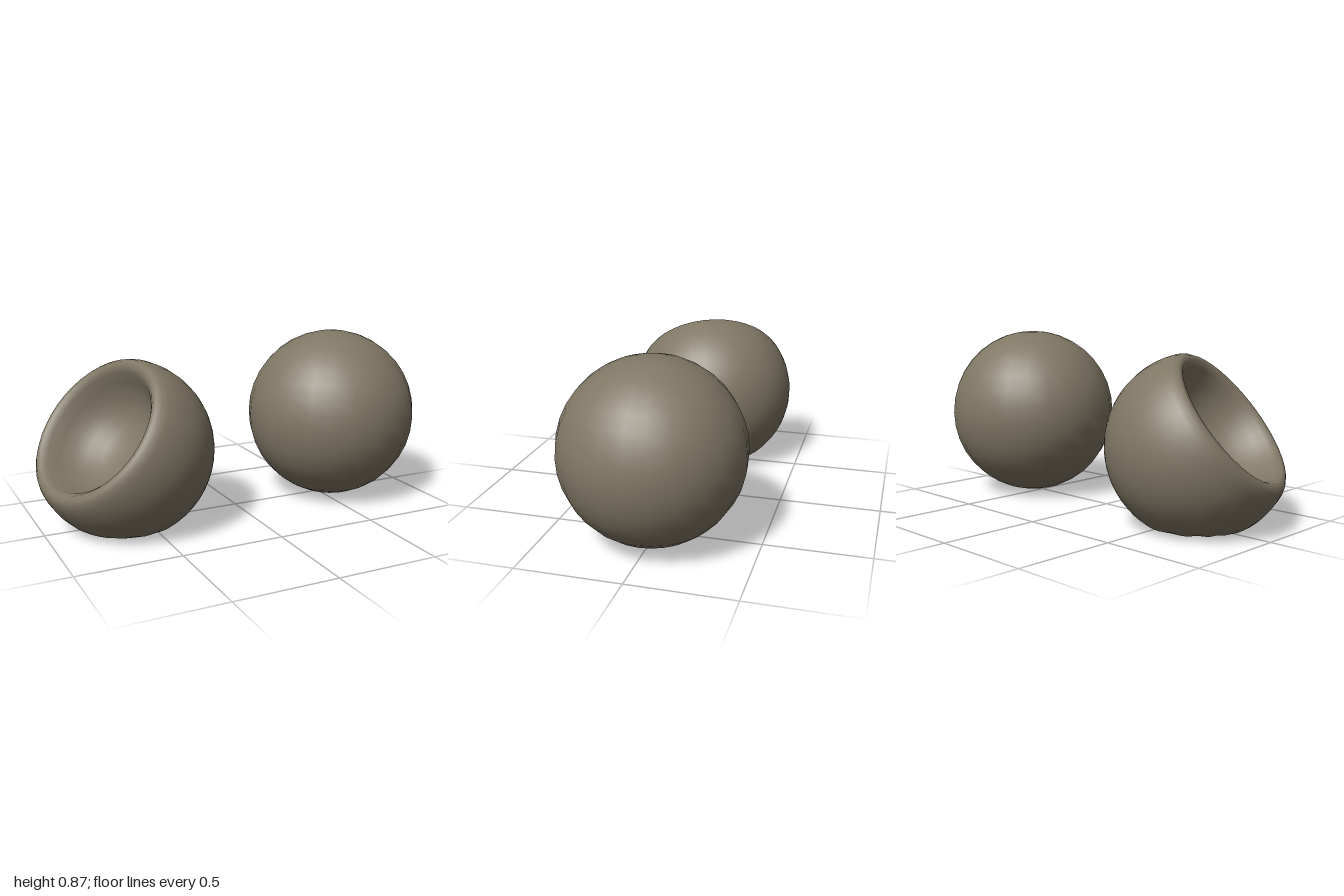
import * as THREE from 'three';
import { mergeVertices } from 'three/addons/utils/BufferGeometryUtils.js';

const R = 0.436;

// Ball with a scooped bowl along a tilted axis and a soft dimple underneath
function hollowBallGeometry() {
  const pts = [];
  const sideAngle = THREE.MathUtils.degToRad(113);
  for (let i = 0; i <= 22; i++) {
    const a = (sideAngle * i) / 22;
    pts.push(new THREE.Vector2(R * Math.sin(a), -R * Math.cos(a)));
  }
  // rounded lip, then down into the bowl
  const bowl = [[0.385, 0.196], [0.365, 0.212], [0.34, 0.212], [0.316, 0.188], [0.292, 0.138],
    [0.258, 0.08], [0.205, 0.025], [0.14, -0.01], [0.07, -0.025], [0, -0.03]];
  bowl.forEach(([r, h]) => pts.push(new THREE.Vector2(r, h)));

  let geo = new THREE.LatheGeometry(pts, 40);
  geo.deleteAttribute('uv');
  geo.deleteAttribute('normal');
  geo = mergeVertices(geo, 1e-4);

  const axis = new THREE.Vector3(-0.74, 0.62, 0.25).normalize();
  geo.applyQuaternion(new THREE.Quaternion().setFromUnitVectors(new THREE.Vector3(0, 1, 0), axis));

  // press the dimple into the underside, leaving a ring to stand on
  const p = geo.attributes.position;
  for (let i = 0; i < p.count; i++) {
    const y = p.getY(i);
    const rho = Math.hypot(p.getX(i), p.getZ(i));
    if (y > -0.3 || rho > 0.25) continue;
    p.setY(i, y + 0.14 * (1 - (rho / 0.25) ** 2) ** 2);
  }
  geo.computeVertexNormals();
  return geo;
}

export function createModel() {
  const group = new THREE.Group();
  const clay = new THREE.MeshStandardMaterial({ color: 0x807765 });
  clay.name = 'clay brown';

  // whole ball
  const ball = new THREE.Mesh(new THREE.SphereGeometry(R, 24, 18), clay);
  ball.name = 'wholeBall';
  ball.position.set(0.565, 0.439, 0);
  group.add(ball);

  // scooped ball
  const hollow = new THREE.Mesh(hollowBallGeometry(), clay);
  hollow.name = 'hollowBall';
  hollow.position.set(-0.595, 0.378, 0);
  group.add(hollow);

  return group;
}
